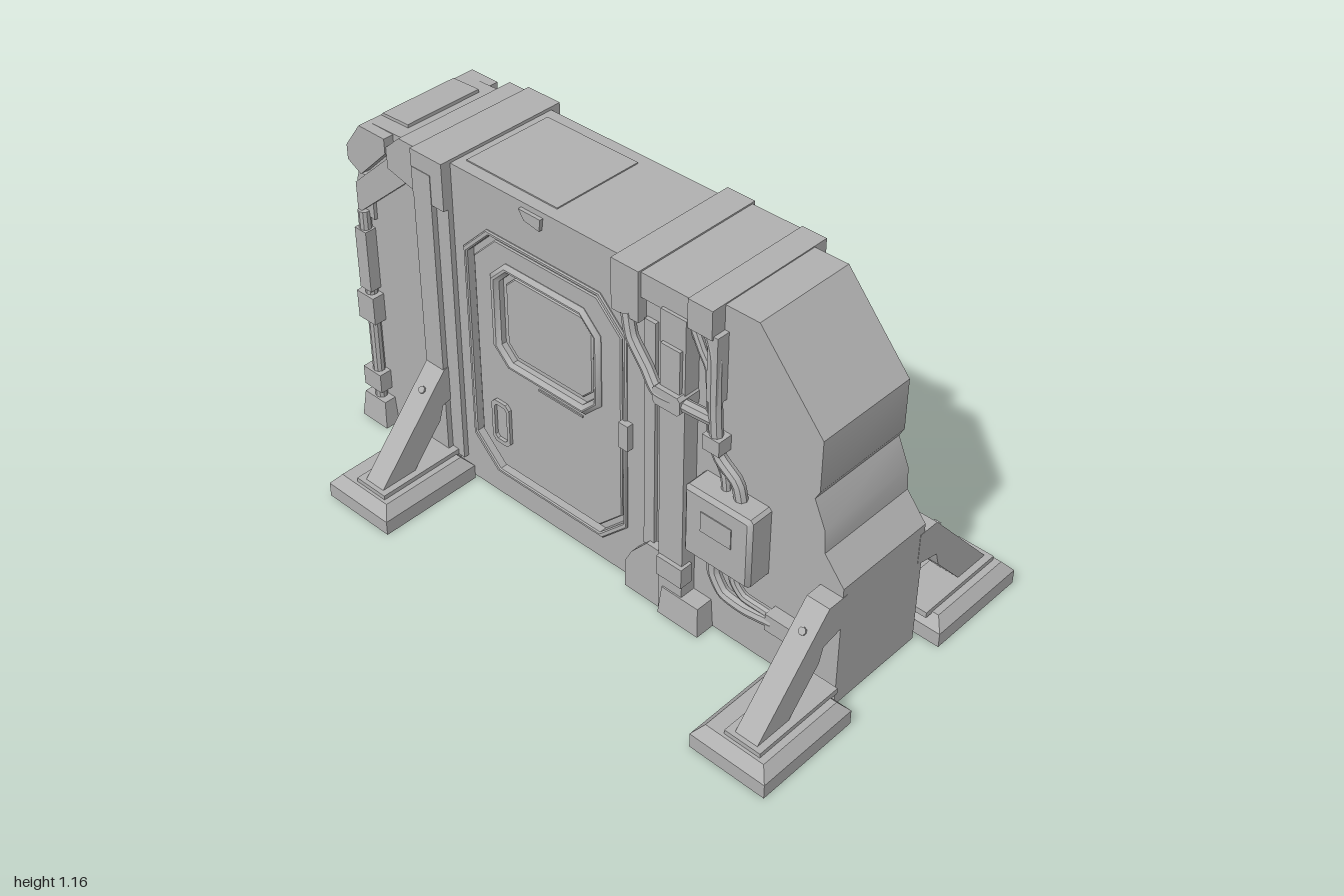
import * as THREE from 'three';
import { toCreasedNormals } from 'three/addons/utils/BufferGeometryUtils.js';

const grey = new THREE.MeshStandardMaterial({ color: 0xb0b0b0 });
grey.name = 'concreteGrey';

// Copy of a geometry reflected in z, with its faces turned the right way out.
function mirrorZ(geo) {
  const g = geo.clone().scale(1, 1, -1);
  const p = g.attributes.position;
  const a = new THREE.Vector3(), b = new THREE.Vector3();
  for (let i = 0; i < p.count; i += 3) {
    a.fromBufferAttribute(p, i + 1);
    b.fromBufferAttribute(p, i + 2);
    p.setXYZ(i + 1, b.x, b.y, b.z);
    p.setXYZ(i + 2, a.x, a.y, a.z);
  }
  return g;
}

// Box from its limits.
function box(x0, x1, y0, y1, z0, z1) {
  return new THREE.BoxGeometry(x1 - x0, y1 - y0, z1 - z0)
    .translate((x0 + x1) / 2, (y0 + y1) / 2, (z0 + z1) / 2);
}

const toShape = (pts) => new THREE.Shape(pts.map(([x, y]) => new THREE.Vector2(x, y)));

// Outline in x and y, extruded from z0 to z1, with an optional hole and bevelled edge.
function plate(pts, z0, z1, hole, bevel = 0) {
  const s = toShape(pts);
  if (hole) s.holes.push(new THREE.Path(hole.map(([x, y]) => new THREE.Vector2(x, y))));
  return new THREE.ExtrudeGeometry(s, {
    depth: z1 - z0 - bevel, bevelEnabled: bevel > 0, bevelSize: bevel,
    bevelThickness: bevel, bevelOffset: -bevel, bevelSegments: 1,
  }).translate(0, 0, z0);
}

// Rectangle with cut corners.
function cut(x0, x1, y0, y1, c) {
  return [[x0 + c, y0], [x1 - c, y0], [x1, y0 + c], [x1, y1 - c],
    [x1 - c, y1], [x0 + c, y1], [x0, y1 - c], [x0, y0 + c]];
}

function cable(pts, r) {
  const curve = new THREE.CatmullRomCurve3(pts.map((p) => new THREE.Vector3(...p)), false, 'catmullrom', 0.3);
  return new THREE.TubeGeometry(curve, 32, r, 8, false);
}

// Block whose top is smaller than its base.
function tapered(x0, x1, y0, y1, z0, z1, inset) {
  const g = box(x0, x1, y0, y1, z0, z1), p = g.attributes.position;
  const cx = (x0 + x1) / 2, cz = (z0 + z1) / 2;
  for (let i = 0; i < p.count; i++) {
    if (p.getY(i) > (y0 + y1) / 2) {
      p.setX(i, p.getX(i) - Math.sign(p.getX(i) - cx) * inset);
      p.setZ(i, p.getZ(i) - Math.sign(p.getZ(i) - cz) * inset);
    }
  }
  return g;
}

export function createModel() {
  const root = new THREE.Group();
  root.name = 'barrier';

  function add(name, geo) {
    const mesh = new THREE.Mesh(toCreasedNormals(geo, 0.6), grey);
    mesh.name = name;
    root.add(mesh);
  }
  // Adds a part to the front face and its twin to the back face.
  function both(name, geo) {
    const g = geo.index ? geo.toNonIndexed() : geo;
    add(name + 'Front', g);
    add(name + 'Back', mirrorZ(g));
  }

  // Core wall with the stepped, sloping end
  add('wallCore', plate([[-0.93, 0.0], [0.925, 0], [0.925, 0.44], [0.855, 0.525], [0.85, 0.6], [0.81, 0.69],
    [0.825, 0.72], [0.825, 0.89], [0.6, 1.15], [-0.72, 1.14], [-0.9, 1.0], [-0.93, 0.85]], -0.178, 0.178));
  add('topBeam', box(-0.55, 0.33, 1.07, 1.148, -0.2, 0.2));
  add('topPlate', box(-0.5, -0.14, 1.148, 1.152, -0.16, 0.16));

  // Straps that wrap over the top
  add('leftStrap', box(-0.655, -0.525, 1.0, 1.158, -0.235, 0.235));
  add('middleStrap', box(0.13, 0.23, 0.99, 1.155, -0.232, 0.232));
  add('rightStrapBridge', box(0.23, 0.4, 1.07, 1.15, -0.222, 0.222));
  add('rightStrap', box(0.4, 0.485, 1.06, 1.153, -0.228, 0.228));
  add('leftShoulder', plate([[-0.655, 1.155], [-0.72, 1.155], [-0.78, 1.1], [-0.78, 1.03], [-0.655, 1.0]], -0.22, 0.22));

  // Cap and band on the chamfered left end
  add('endCap', plate([[-0.74, 1.0], [-0.74, 1.135], [-0.89, 1.13], [-0.955, 1.05], [-0.955, 0.96], [-0.9, 0.94]], -0.19, 0.19));
  add('endCapPlate', plate([[-0.77, 1.13], [-0.77, 1.145], [-0.88, 1.14], [-0.94, 1.07], [-0.93, 1.05]], -0.14, 0.14));
  add('endBand', plate([[-0.9, 0.78], [-0.9, 0.93], [-0.955, 0.93], [-0.965, 0.9], [-0.945, 0.79]], -0.19, 0.19));

  // Door frame, recessed door and window
  const octagon = cut(-0.485, 0.16, 0.1, 0.99, 0.1);
  both('doorFrame', plate([[-0.56, 0.015], [0.33, 0.015], [0.33, 1.08], [-0.56, 1.08]], 0.17, 0.2, octagon));
  both('doorRim', plate(octagon, 0.178, 0.207, cut(-0.47, 0.145, 0.115, 0.975, 0.096), 0.004));
  const windowCut = cut(-0.35, 0.025, 0.555, 0.87, 0.045);
  both('door', plate(cut(-0.455, 0.13, 0.13, 0.96, 0.092), 0.175, 0.194, windowCut, 0.004));
  both('windowFrame', plate(cut(-0.385, 0.055, 0.525, 0.9, 0.065), 0.178, 0.208, windowCut, 0.012));
  both('windowPane', plate(cut(-0.335, 0.01, 0.57, 0.855, 0.04), 0.176, 0.185, null, 0.004));
  both('doorHandleRim', plate(cut(-0.4, -0.325, 0.22, 0.38, 0.015), 0.19, 0.205, cut(-0.388, -0.337, 0.235, 0.365, 0.01)));
  both('doorSeam', box(-0.2, -0.02, 0.508, 0.514, 0.192, 0.198));
  both('doorLatch', box(0.145, 0.18, 0.51, 0.6, 0.195, 0.222));
  both('topHook', plate([[-0.24, 1.13], [-0.22, 1.1], [-0.16, 1.09], [-0.155, 1.13]], 0.198, 0.212));

  // Pillars beside the door
  both('leftPillar', box(-0.65, -0.575, 0, 1.1, 0.16, 0.237));
  both('leftPillarStep', box(-0.575, -0.525, 0.08, 1.08, 0.16, 0.218));
  both('rightPillar', box(0.31, 0.4, 0, 1.08, 0.16, 0.232));
  both('rightPillarStep', box(0.235, 0.275, 0.2, 1.0, 0.19, 0.213));
  both('rightPillarFoot', tapered(0.32, 0.475, 0, 0.1, 0.14, 0.245, 0.008));
  both('cornerGusset', plate([[0.175, 0], [0.31, 0], [0.31, 0.22], [0.26, 0.22], [0.2, 0.15], [0.175, 0.1]], 0.17, 0.228));
  both('pillarLowerClamp', box(0.315, 0.41, 0.15, 0.22, 0.2, 0.246));
  both('pillarClamp', plate(cut(0.305, 0.405, 0.78, 0.84, 0.01), 0.18, 0.258));
  both('pillarNeck', box(0.32, 0.39, 0.84, 0.98, 0.2, 0.243));

  // Cables, their brackets and the junction box
  both('upperCable', cable([[0.18, 1.0, 0.22], [0.2, 0.93, 0.225], [0.26, 0.86, 0.23], [0.31, 0.81, 0.24], [0.4, 0.81, 0.235], [0.48, 0.78, 0.2]], 0.02));
  both('longCable', cable([[0.45, 1.08, 0.2], [0.48, 1.0, 0.205], [0.485, 0.82, 0.205], [0.5, 0.68, 0.205], [0.57, 0.62, 0.205], [0.59, 0.54, 0.205]], 0.02));
  both('thinCable', cable([[0.4, 1.05, 0.2], [0.43, 0.99, 0.2], [0.46, 0.93, 0.2], [0.47, 0.72, 0.2], [0.52, 0.62, 0.2], [0.53, 0.54, 0.2]], 0.014));
  both('cableCover', box(0.465, 0.5, 0.85, 1.07, 0.17, 0.222));
  both('cableClip', box(0.46, 0.52, 0.69, 0.74, 0.17, 0.228));
  both('junctionBox', plate(cut(0.43, 0.67, 0.325, 0.57, 0.01), 0.17, 0.265, null, 0.012));
  both('junctionBoxLabel', box(0.495, 0.605, 0.44, 0.51, 0.262, 0.268));
  both('lowerCable', cable([[0.5, 0.34, 0.21], [0.5, 0.26, 0.21], [0.54, 0.2, 0.21], [0.62, 0.19, 0.21], [0.72, 0.2, 0.205]], 0.02));
  both('lowerThinCable', cable([[0.57, 0.34, 0.21], [0.575, 0.27, 0.21], [0.61, 0.225, 0.205], [0.7, 0.215, 0.2], [0.82, 0.19, 0.2], [0.86, 0.13, 0.2]], 0.015));
  both('cableSocket', box(0.7, 0.83, 0.17, 0.23, 0.17, 0.222));

  // Diagonal braces and vertical pipes by the left end
  both('diagonalBrace', plate([[-0.955, 0.79], [-0.65, 1.06], [-0.65, 1.12], [-0.72, 1.12], [-0.955, 0.9]], 0.17, 0.205));
  both('braceUpper', plate([[-0.955, 0.99], [-0.9, 0.96], [-0.78, 1.08], [-0.78, 1.13], [-0.89, 1.13], [-0.955, 1.04]], 0.17, 0.225));
  both('endPipe', new THREE.CylinderGeometry(0.02, 0.02, 0.75, 10).translate(-0.94, 0.43, 0.195));
  both('endPipeUpperSleeve', box(-0.965, -0.915, 0.52, 0.74, 0.165, 0.218));
  both('endPipeClamp', box(-0.98, -0.905, 0.4, 0.5, 0.155, 0.222));
  both('endPipeLowerClamp', box(-0.985, -0.905, 0.13, 0.2, 0.155, 0.222));
  both('endFoot', tapered(-1.0, -0.885, 0, 0.095, 0.1, 0.23, 0.01));

  // Four outriggers: a bevelled foot and an angled strut each
  const strut = [[0.16, 0.41], [0.235, 0.41], [0.51, 0.1], [0.38, 0.1], [0.265, 0.23], [0.25, 0.28], [0.16, 0.3]];
  for (const [side, x0, sx] of [['left', 0.735, 0.848], ['right', -0.765, -0.65]]) {
    both(side + 'FootBase', box(x0, x0 + 0.265, 0, 0.05, 0.2, 0.565));
    both(side + 'FootTop', tapered(x0, x0 + 0.265, 0.05, 0.085, 0.2, 0.565, 0.03));
    both(side + 'FootPad', box(sx - 0.025, sx + 0.1, 0.08, 0.1, 0.2, 0.525));
    // Turned so that the outline's first axis runs along z
    const g = plate(strut, 0, 0.078).rotateY(-Math.PI / 2).translate(sx + 0.078, 0, 0);
    both(side + 'Strut', g);
    both(side + 'StrutBolt', new THREE.CylinderGeometry(0.012, 0.012, 0.012, 8)
      .rotateX(0.845).translate(sx + 0.039, 0.345, 0.294));
  }
  return root;
}
